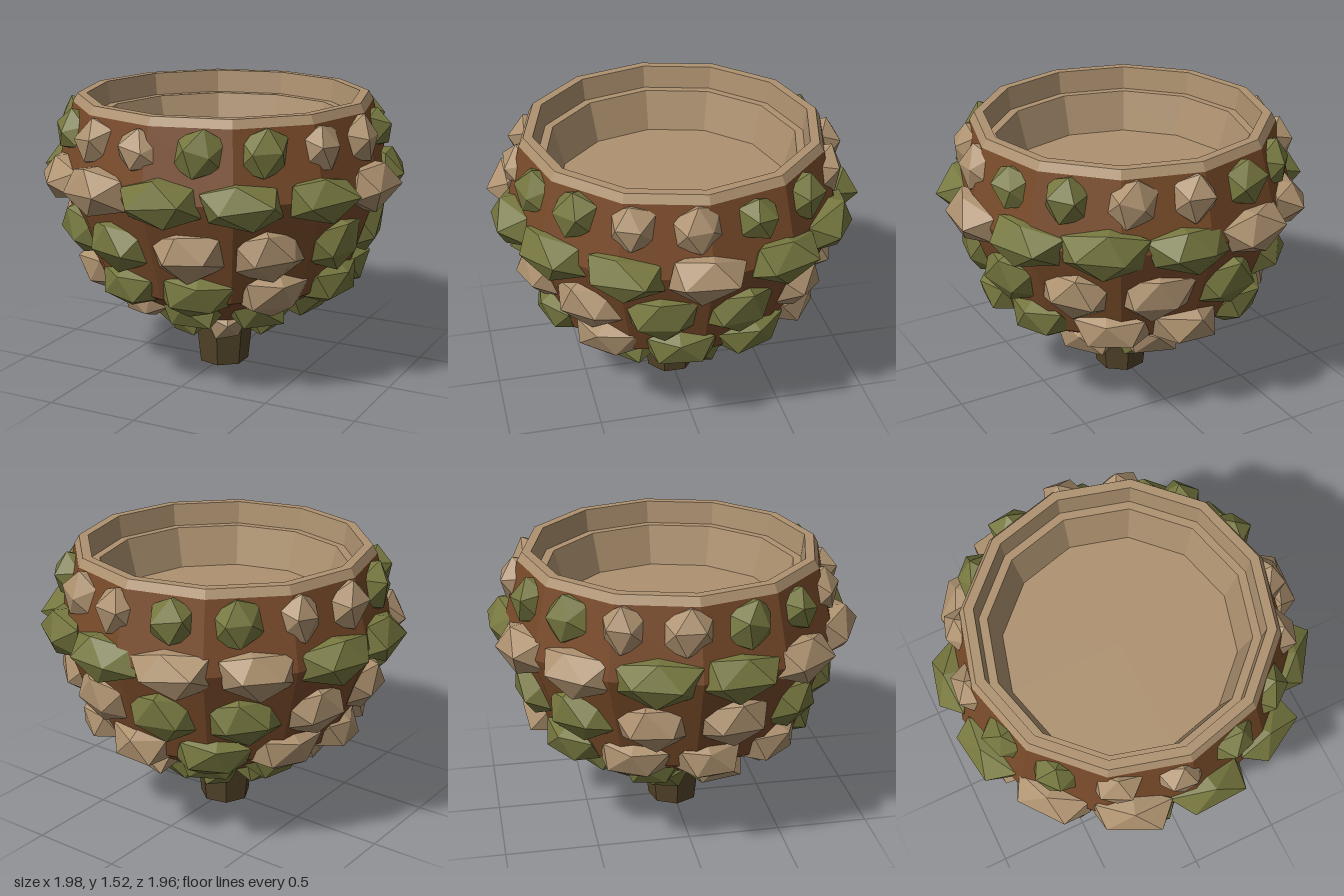
import * as THREE from 'three';

const rad = THREE.MathUtils.degToRad;

function material(name, color) {
  const m = new THREE.MeshStandardMaterial({ color });
  m.name = name;
  return m;
}

// Faceted 12-sided turned part from [radius, height] pairs
function turned(name, profile, mat) {
  const points = profile.map(([r, y]) => new THREE.Vector2(r, y));
  const geo = new THREE.LatheGeometry(points, 12).toNonIndexed();
  geo.computeVertexNormals();
  const mesh = new THREE.Mesh(geo, mat);
  mesh.name = name;
  return mesh;
}

// Irregular faceted scale, sunk into the shell with a flattened back; shared corners move together
function scaleGeometry(seed, width, height, depth) {
  const geo = new THREE.IcosahedronGeometry(1, 0);
  geo.rotateZ(Math.PI / 2 + 0.15 * Math.sin(seed * 5.3));
  const pos = geo.attributes.position;
  const v = new THREE.Vector3();
  const wobble = (k) => 0.09 * Math.sin(
    k * 12.7 + seed * 3.1 + Math.round(v.x * 50) * 1.3 + Math.round(v.y * 50) * 2.7 + Math.round(v.z * 50) * 4.1);
  for (let i = 0; i < pos.count; i++) {
    v.fromBufferAttribute(pos, i);
    const dx = wobble(1), dy = wobble(2), dz = wobble(3);
    pos.setXYZ(i, (v.x + dx) * width * 0.63, (v.y + dy) * height * 0.63, (Math.max(v.z + dz, -0.3) - 0.32) * depth);
  }
  geo.computeVertexNormals();
  return geo;
}

export function createModel() {
  const model = new THREE.Group();
  model.name = 'acornCapBowl';

  const bark = material('bark brown', 0x784a29);
  const tan = material('pale tan', 0xae9270);
  const moss = material('moss green', 0x76773f);
  const wood = material('stem brown', 0x524329);

  // Outer shell and hollow rim
  const bowl = new THREE.Group();
  bowl.name = 'bowl';
  bowl.position.set(-0.005, 0, -0.015);
  bowl.add(
    turned('shell', [[0, 0.22], [0.17, 0.22], [0.715, 0.555], [0.91, 1.11], [0.815, 1.48]], bark),
    turned('rimAndInterior', [[0.815, 1.48], [0.79, 1.525], [0.74, 1.525], [0.725, 1.4], [0.68, 1.4], [0.62, 1.18], [0, 1.18]], tan),
  );
  model.add(bowl);

  // Seven-sided stem
  const stemGeo = new THREE.CylinderGeometry(0.167, 0.14, 0.25, 7, 1, false, -Math.PI / 2).toNonIndexed();
  stemGeo.computeVertexNormals();
  const stem = new THREE.Mesh(stemGeo, wood);
  stem.name = 'stem';
  stem.position.y = 0.125;
  model.add(stem);

  // Rows of scales; each letter is one scale, t for tan and g for green
  const rows = [
    { y: 1.36, r: 0.835, start: -26.5, tilt: -14, size: [0.22, 0.21, 0.125], colors: 'ttggttggttggttgg' },
    { y: 1.11, r: 0.9, start: 6, tilt: 2, size: [0.38, 0.23, 0.16], colors: 'gggtgggttggtt' },
    { y: 0.82, r: 0.8, start: -47, tilt: 18, size: [0.34, 0.26, 0.14], colors: 'ggttggttggtt' },
    { y: 0.575, r: 0.715, start: -50.7, tilt: 35, size: [0.33, 0.22, 0.14], colors: 'tggtggttgtt' },
    { y: 0.43, r: 0.51, start: 8, tilt: 55, size: [0.31, 0.21, 0.14], colors: 'gggttggtt' },
    { y: 0.295, r: 0.29, start: -60, tilt: 58, size: [0.22, 0.19, 0.14], colors: 'ggtggggg' },
  ];
  rows.forEach((row, k) => {
    const ring = new THREE.Group();
    ring.name = `scaleRow${k + 1}`;
    [...row.colors].forEach((c, i) => {
      const angle = rad(row.start + (i * 360) / row.colors.length);
      const bump = new THREE.Mesh(scaleGeometry(k * 17 + i, ...row.size), c === 't' ? tan : moss);
      bump.name = c === 't' ? 'tanScale' : 'greenScale';
      bump.position.set(row.r * Math.sin(angle), row.y, row.r * Math.cos(angle));
      bump.rotation.set(rad(row.tilt), angle, 0, 'YXZ');
      ring.add(bump);
    });
    bowl.add(ring);
  });

  return model;
}
